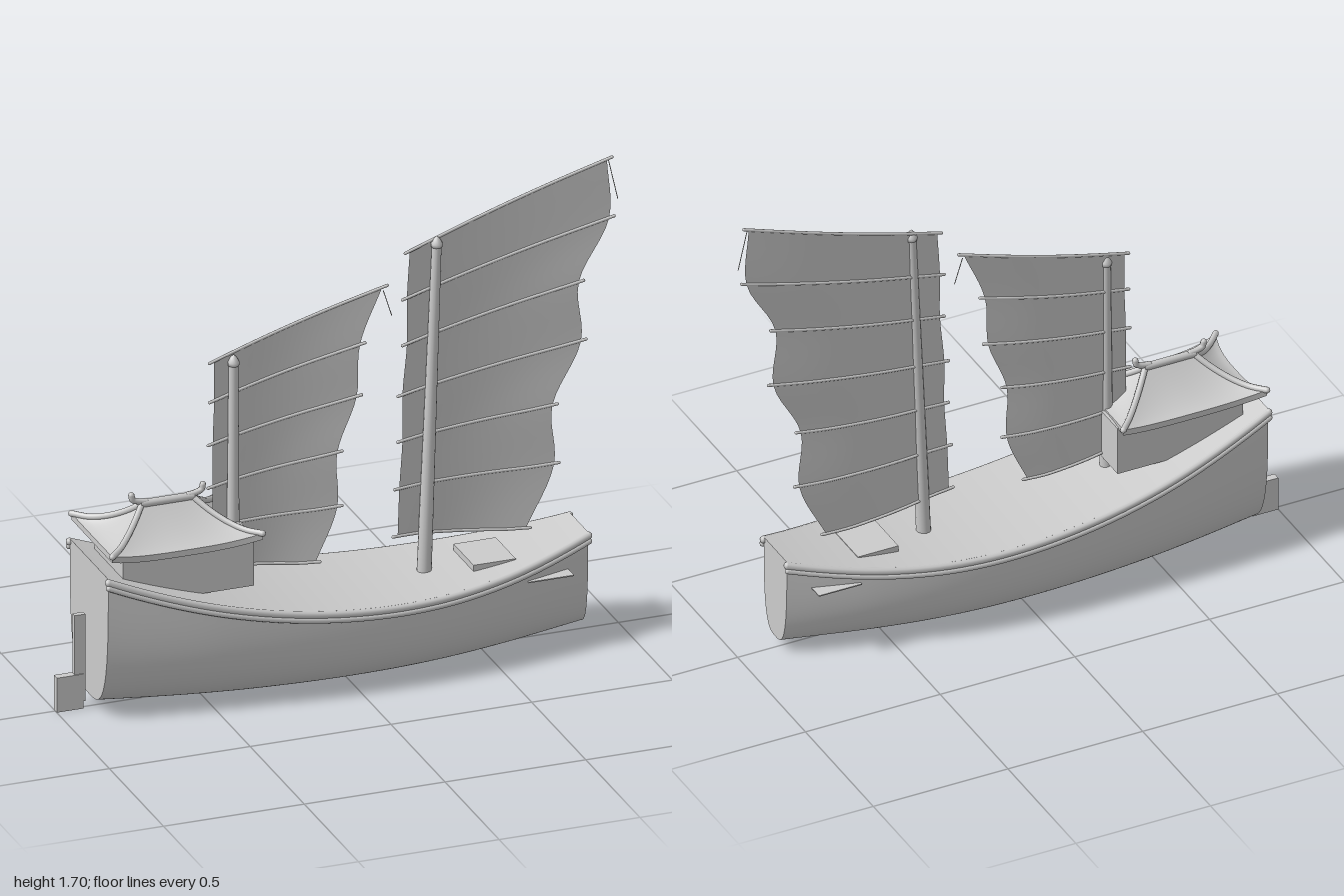
import * as THREE from 'three';

const mat = new THREE.MeshStandardMaterial({ color: 0xcccccc, side: THREE.DoubleSide });
const V = (x, y, z) => new THREE.Vector3(x, y, z);
const lerp = THREE.MathUtils.lerp;

function add(parent, name, geometry) {
  const mesh = new THREE.Mesh(geometry, mat);
  mesh.name = name;
  parent.add(mesh);
  return mesh;
}

function box(parent, name, x0, x1, y0, y1, halfZ) {
  add(parent, name, new THREE.BoxGeometry(x1 - x0, y1 - y0, 2 * halfZ))
    .position.set((x0 + x1) / 2, (y0 + y1) / 2, 0);
}

// Smooth grid surface from a rule f(u, v) -> Vector3, u and v in 0..1
function surface(nu, nv, f) {
  const pos = [], idx = [], row = nv + 1;
  for (let i = 0; i <= nu; i++)
    for (let j = 0; j <= nv; j++) pos.push(...f(i / nu, j / nv).toArray());
  for (let i = 0; i < nu; i++)
    for (let j = 0; j < nv; j++) {
      const a = i * row + j, b = a + row;
      idx.push(a, b, a + 1, b, b + 1, a + 1);
    }
  const g = new THREE.BufferGeometry();
  g.setAttribute('position', new THREE.Float32BufferAttribute(pos, 3));
  g.setIndex(idx);
  g.computeVertexNormals();
  return g;
}

// Tapered round pole between two points
function pole(parent, name, a, b, r0, r1 = r0, sides = 10) {
  const d = b.clone().sub(a);
  const m = add(parent, name, new THREE.CylinderGeometry(r1, r0, d.length(), sides));
  m.position.copy(a).addScaledVector(d, 0.5);
  m.quaternion.setFromUnitVectors(V(0, 1, 0), d.normalize());
}

function tube(parent, name, points, r, segments = 24) {
  add(parent, name, new THREE.TubeGeometry(new THREE.CatmullRomCurve3(points), segments, r, 8));
  for (const p of [points[0], points[points.length - 1]])
    add(parent, name + 'End', new THREE.SphereGeometry(r, 8, 6)).position.copy(p);
}

// Hull lines: plan width, sheer and keel
const STERN = -0.88, BOW = 0.86;
const plan = new THREE.SplineCurve([
  [-0.88, 0.178], [-0.5, 0.222], [-0.1, 0.236], [0.25, 0.222], [0.55, 0.172], [0.86, 0.085],
].map(p => new THREE.Vector2(...p)));
const deckY = x => 0.305 + 0.2 * (x - 0.2) ** 2;
const keelY = x => 0.013 + 0.046 * x * x;

// Point on the hull section: a runs from one gunwale (0) under the keel to the other (PI)
function hullPoint(u, a) {
  const p = plan.getPoint(u), c = Math.cos(a), e = 2 / 3.2;
  const z = Math.sign(c) * p.y * Math.abs(c) ** e;
  return V(p.x, lerp(deckY(p.x), keelY(p.x), Math.abs(Math.sin(a)) ** e), z);
}

function buildHull() {
  const g = new THREE.Group();
  g.name = 'hull';
  add(g, 'planking', surface(48, 48, (u, v) => hullPoint(u, v * Math.PI)));
  add(g, 'deck', surface(48, 2, (u, v) => {
    const p = hullPoint(u, 0);
    return p.setZ(p.z * (2 * v - 1));
  }));
  for (const [name, u] of [['transom', 0], ['bowPlate', 1]])
    add(g, name, surface(24, 2, (s, v) => {
      const p = hullPoint(u, s * Math.PI / 2);
      return p.setZ(p.z * (2 * v - 1));
    }));
  // Double rails along each gunwale
  for (const side of [1, -1])
    for (const [name, drop, out, r] of [['rail', 0.012, 0.003, 0.013], ['rubbingStrake', 0.03, 0.008, 0.011]]) {
      const pts = [];
      for (let i = 0; i <= 16; i++) {
        const p = hullPoint(i / 16, 0);
        pts.push(V(p.x, p.y - drop, side * (p.z + out)));
      }
      tube(g, name, pts, r, 48);
    }
  box(g, 'hatch', 0.45, 0.6, 0.29, 0.34, 0.093);
  box(g, 'bowCrossPlate', 0.62, 0.78, 0.277, 0.281, 0.163);
  return g;
}

function buildRudder() {
  const g = new THREE.Group();
  g.name = 'rudder';
  box(g, 'rudderStock', -0.935, -0.897, 0.03, 0.345, 0.01);
  box(g, 'rudderBlade', -1, -0.905, 0.005, 0.13, 0.014);
  return g;
}

// Concave hip roof with raised corners; each face runs s = -1..1 across, t = 0..1 ridge to eave
function roofPoint(face, s, t) {
  const flare = Math.abs(s) ** 3, dir = face % 2 ? -1 : 1;
  const y = 0.597 + 0.11 * (1 - t) ** 1.6 + 0.026 * t * t * flare;
  return face < 2
    ? V(s * lerp(0.09, 0.267, t), y, dir * t * (0.17 + 0.02 * flare))
    : V(dir * lerp(0.09, 0.247 + 0.02 * flare, t), y, s * t * 0.19);
}

function buildCabin() {
  const g = new THREE.Group();
  g.name = 'cabin';
  box(g, 'cabinWalls', -0.81, -0.345, 0.41, 0.59, 0.13);
  const roof = new THREE.Group();
  roof.name = 'roof';
  roof.position.x = -0.603;
  g.add(roof);
  for (let face = 0; face < 4; face++) {
    add(roof, 'roofSlope', surface(16, 10, (u, v) => roofPoint(face, 2 * u - 1, v)));
    const low = u => { const p = roofPoint(face, 2 * u - 1, 1); return p.setY(p.y - 0.022); };
    add(roof, 'eaveBand', surface(16, 1, (u, v) => roofPoint(face, 2 * u - 1, 1).lerp(low(u), v)));
    add(roof, 'soffit', surface(16, 1, (u, v) => {
      const p = low(u);
      return p.lerp(V(p.x * 0.6, 0.578, p.z * 0.6), v);
    }));
  }
  for (const sx of [1, -1]) {
    for (let face = 0; face < 2; face++)
      tube(roof, 'hipRidge', [0, 0.25, 0.5, 0.75, 1].map(t => roofPoint(face, sx, t)), 0.011, 16);
    tube(roof, 'ridgeOrnament', [V(sx * 0.075, 0.715, 0), V(sx * 0.1, 0.719, 0),
      V(sx * 0.122, 0.728, 0), V(sx * 0.127, 0.745, 0)], 0.011, 12);
  }
  pole(roof, 'ridgeBeam', V(-0.095, 0.709, 0), V(0.095, 0.709, 0), 0.014);
  return g;
}

// Battens listed top to bottom as [luff x, luff y, leech x, leech y]
function buildRig(name, foot, head, r0, r1, battens, rope) {
  const g = new THREE.Group();
  g.name = name;
  pole(g, 'mast', foot, head, r0, r1, 16);
  const cap = add(g, 'mastCap', new THREE.LatheGeometry(
    [[0, -0.012], [r1 * 1.2, -0.01], [r1 * 1.25, 0.002], [r1 * 0.7, 0.018], [0, 0.03]]
      .map(p => new THREE.Vector2(...p)), 12));
  cap.position.copy(head);

  const n = battens.length - 1, inset = 0.017, belly = 0.015;
  const luff = new THREE.CatmullRomCurve3(battens.map(b => V(b[0] + inset, b[1] + 0.005, 0)));
  const leech = new THREE.CatmullRomCurve3(battens.map(b => V(b[2] - inset, b[3] - 0.005, 0)));
  const sailPoint = (u, v) => {
    const p = luff.getPoint(v).lerp(leech.getPoint(v), u);
    return p.setZ(-belly * Math.sin(Math.PI * u) - 0.002);
  };
  add(g, 'sail', surface(16, n * 6, sailPoint));
  battens.forEach((b, i) => {
    const pts = [V(b[0], b[1], 0)];
    for (let k = 1; k < 6; k++) pts.push(sailPoint(k / 6, i / n));
    pts.push(V(b[2], b[3], 0));
    tube(g, i ? 'batten' : 'yard', pts, 0.0055, 16);
  });
  pole(g, 'peakRope', rope[0], rope[1], 0.0015, 0.0015, 5);
  return g;
}

export function createModel() {
  const model = new THREE.Group();
  model.name = 'sailingJunk';
  model.add(buildHull(), buildRudder(), buildCabin());
  model.add(buildRig('mainRig', V(0.31, 0.3, 0), V(0.355, 1.485, 0), 0.025, 0.016, [
    [0.243, 1.468, 0.977, 1.7], [0.233, 1.3, 0.985, 1.485], [0.233, 1.134, 0.877, 1.268],
    [0.217, 0.952, 0.885, 1.053], [0.217, 0.786, 0.783, 0.834], [0.206, 0.615, 0.789, 0.62],
    [0.2, 0.444, 0.687, 0.4],
  ], [V(0.965, 1.69, 0), V(0.998, 1.545, 0)]));
  model.add(buildRig('mizzenRig', V(-0.369, 0.35, 0), V(-0.367, 1.17, 0), 0.023, 0.016, [
    [-0.452, 1.18, 0.179, 1.362], [-0.452, 1.037, 0.1, 1.166], [-0.457, 0.882, 0.088, 0.979],
    [-0.457, 0.727, 0.019, 0.786], [-0.457, 0.578, 0.019, 0.588], [-0.457, 0.433, -0.06, 0.396],
  ], [V(0.165, 1.345, 0), V(0.195, 1.25, 0)]));
  return model;
}
